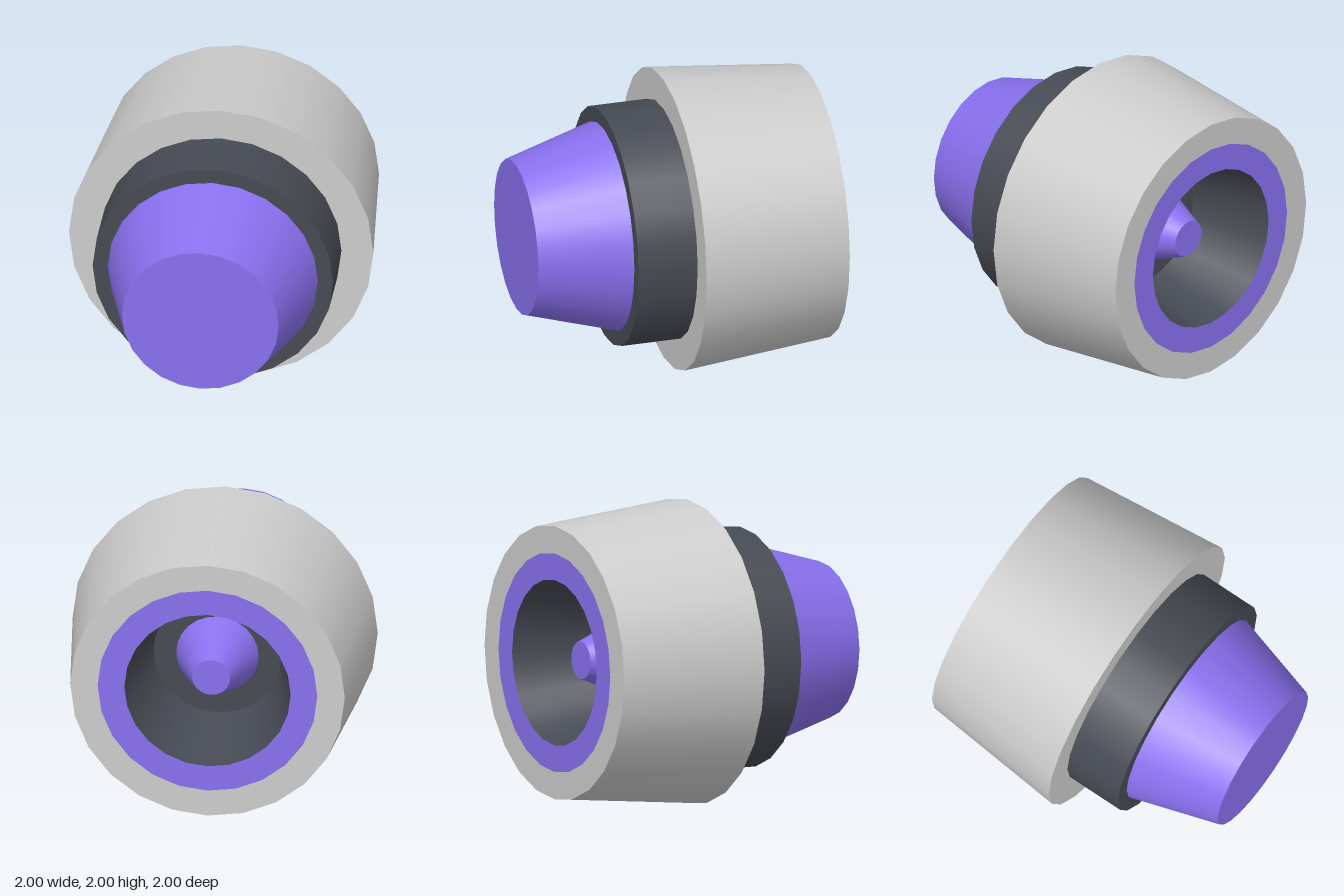
import * as THREE from 'three';
import { mergeGeometries } from 'three/addons/utils/BufferGeometryUtils.js';

const SIDES = 24;
const GREY = 0xcccccc, DARK = 0x464a52, VIOLET = 0x8870ee;

// Revolves a profile of [radius, z] points about the z axis, with a hard edge at each point.
function turned(name, color, profile) {
  const bands = [];
  for (let i = 0; i < profile.length - 1; i++) {
    const pair = [profile[i], profile[i + 1]].map(([r, z]) => new THREE.Vector2(r, z));
    bands.push(new THREE.LatheGeometry(pair, SIDES));
  }
  const geometry = mergeGeometries(bands);
  geometry.rotateX(Math.PI / 2);
  const mesh = new THREE.Mesh(geometry, new THREE.MeshStandardMaterial({ color }));
  mesh.name = name;
  mesh.position.y = 1;
  return mesh;
}

export function createModel() {
  const group = new THREE.Group();
  group.name = 'thruster';
  group.add(
    // Tapered outer shell with flat rings at both ends
    turned('outerShell', GREY, [[0.72, -1], [0.9, -1], [1, 0], [0.79, 0]]),
    // Coloured ring flush with the rear face
    turned('rearRing', VIOLET, [[0.545, -1], [0.72, -1]]),
    // Tapered rear recess: floor, then wall out to the rim
    turned('rearRecess', DARK, [[0, -0.44], [0.42, -0.44], [0.545, -1]]),
    // Blunt cone standing on the recess floor
    turned('exhaustCone', VIOLET, [[0, -0.8], [0.124, -0.8], [0.27, -0.44]]),
    // Straight collar in front of the shell
    turned('collar', DARK, [[0.79, 0], [0.79, 0.4], [0.69, 0.4]]),
    // Tapered nose with a flat front
    turned('nose', VIOLET, [[0.69, 0.4], [0.515, 1], [0, 1]]),
  );
  return group;
}
